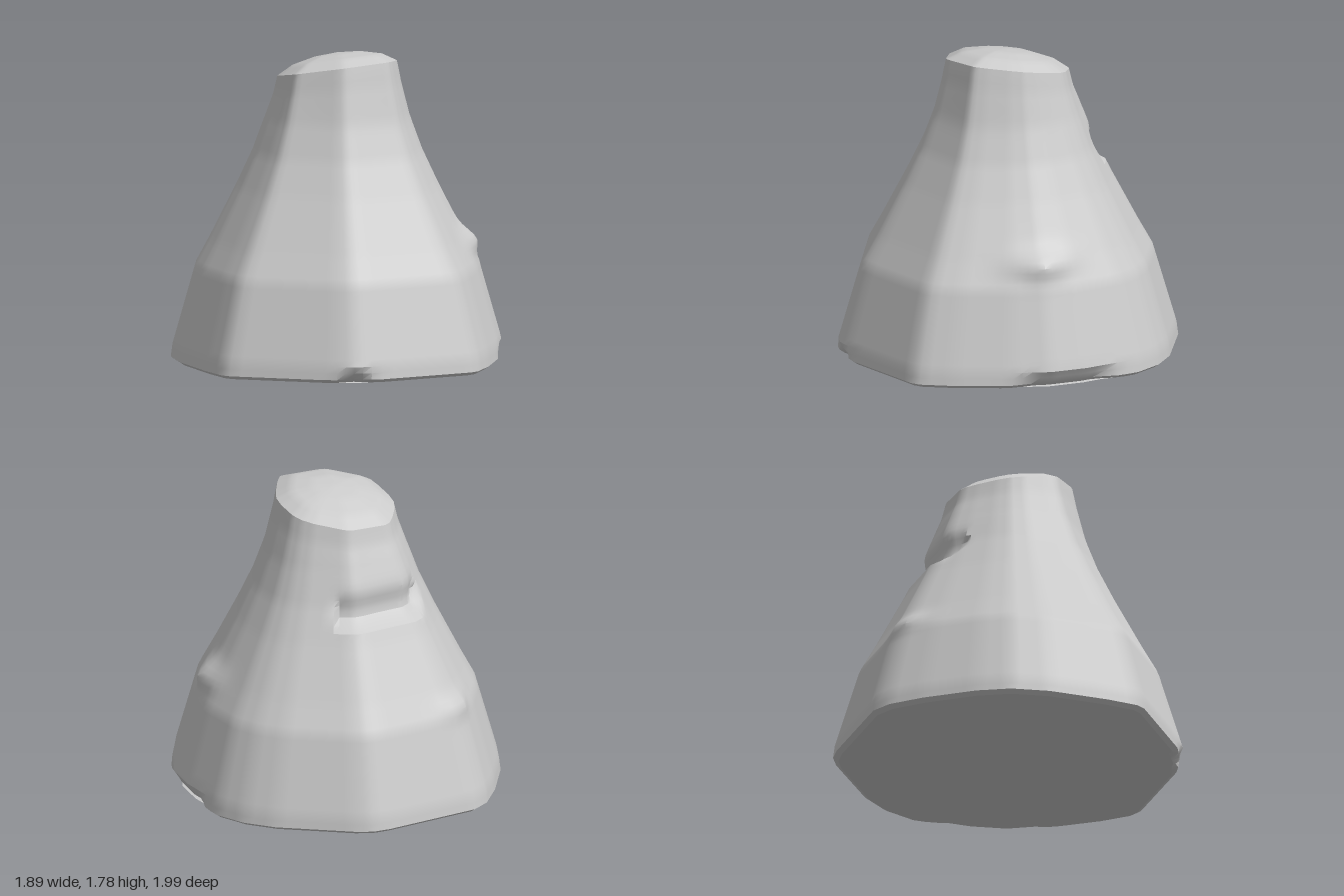
import * as THREE from 'three';
import { toCreasedNormals } from 'three/addons/utils/BufferGeometryUtils.js';

// Eight-cornered plan at the base, as x, z pairs from the front round by +x
const PLAN = [
  [0, 1], [0.1, 0.98], [0.69, 0.76], [0.735, 0.72], [0.81, 0.55], [0.91, 0.22], [0.95, 0],
  [0.92, -0.22], [0.81, -0.55], [0.69, -0.70], [0.53, -0.81], [0.1, -0.98], [0, -1],
  [-0.1, -0.98], [-0.64, -0.78], [-0.73, -0.69], [-0.82, -0.5], [-0.92, -0.2], [-0.95, 0],
  [-0.92, 0.22], [-0.81, 0.55], [-0.735, 0.72], [-0.69, 0.76], [-0.1, 0.98],
];

// Scale of the plan against height, from the underside to the crown
const PROFILE = [
  [0, 0], [0.9, 0], [0.97, 0.005], [1, 0.025], [0.99, 0.1], [0.855, 0.55], [0.77, 0.7],
  [0.69, 0.85], [0.61, 1.0], [0.512, 1.2], [0.435, 1.4], [0.385, 1.56], [0.36, 1.67],
  [0.27, 1.72], [0.14, 1.75], [0, 1.76],
];

// Splits each stretch of a polyline into pieces no longer than step
function subdivide(points, step, closed) {
  const out = [];
  const count = closed ? points.length : points.length - 1;
  for (let i = 0; i < count; i++) {
    const a = points[i], b = points[(i + 1) % points.length];
    const n = Math.max(1, Math.ceil(Math.hypot(b[0] - a[0], b[1] - a[1]) / step));
    for (let k = 0; k < n; k++) {
      out.push([a[0] + (b[0] - a[0]) * k / n, a[1] + (b[1] - a[1]) * k / n]);
    }
  }
  if (!closed) out.push(points[points.length - 1]);
  return out;
}

const bell = (d, width) => Math.exp(-((d / width) ** 2));
const ramp = THREE.MathUtils.smoothstep;

// Chips, dents and ledges: returns the change of radius at a point
function wear(x, y, z) {
  let d = 0;
  if (y > 0.004) {
    // chipped lower edge at the front and on the +x side
    if (z > 0.8) d -= 0.07 * Math.max(0, 1 - Math.abs(x) / 0.13) * (1 - ramp(y, 0.02, 0.09));
    if (x > 0.7) {
      const run = ramp(z, -0.45, -0.28) * (1 - ramp(z, 0.02, 0.3));
      d -= 0.06 * run * (1 - ramp(y, 0.02, 0.11));
    }
  }
  // knobs on the shoulder
  if (x > 0.5) d += 0.055 * bell(y - 0.68, 0.07) * bell(z, 0.16);
  if (x < -0.4 && z < -0.4) d += 0.03 * bell(y - 0.6, 0.05) * bell(x - z, 0.15);
  // ledge cut across the rear
  if (z < -0.25 && x > -0.45 && x < 0.13 && y > 1.0 && y < 1.32) {
    const ends = ramp(x, -0.45, -0.4) * (1 - ramp(x, 0.08, 0.13));
    const cut = ramp(y, 1.07, 1.12) * (1 - ramp(y, 1.13, 1.3));
    d -= 0.065 * ends * cut;
  }
  return d;
}

function bodyGeometry() {
  const plan = subdivide(PLAN, 0.07, true);
  const rows = subdivide(PROFILE, 0.04, false);
  const n = plan.length;
  const positions = [], index = [];

  for (const [scale, height] of rows) {
    for (const [px, pz] of plan) {
      let x = px * scale, z = pz * scale;
      const r = Math.hypot(x, z);
      if (r > 0.001) {
        const k = 1 + wear(x, height, z) / r;
        x *= k;
        z *= k;
      }
      // the crown tips down toward the rear and the -x side
      const tilt = ramp(height, 1.35, 1.67) * (0.04 * x + 0.05 * z) / 0.35;
      positions.push(x, height + tilt, z);
    }
  }

  for (let j = 0; j < rows.length - 1; j++) {
    for (let i = 0; i < n; i++) {
      const a = j * n + i, b = j * n + (i + 1) % n;
      const c = b + n, d = a + n;
      if (j > 0) index.push(a, b, c);
      if (j < rows.length - 2) index.push(a, c, d);
      else index.push(a, b, d);
    }
  }

  // the first row is a single point, so its triangles run from c and d
  const geometry = new THREE.BufferGeometry();
  geometry.setAttribute('position', new THREE.Float32BufferAttribute(positions, 3));
  geometry.setIndex(index);
  return toCreasedNormals(geometry, 0.5);
}

export function createModel() {
  const model = new THREE.Group();
  model.name = 'taperedStone';
  const material = new THREE.MeshStandardMaterial({ color: 0xcccccc });
  const body = new THREE.Mesh(bodyGeometry(), material);
  body.name = 'stoneBody';
  model.add(body);
  return model;
}
